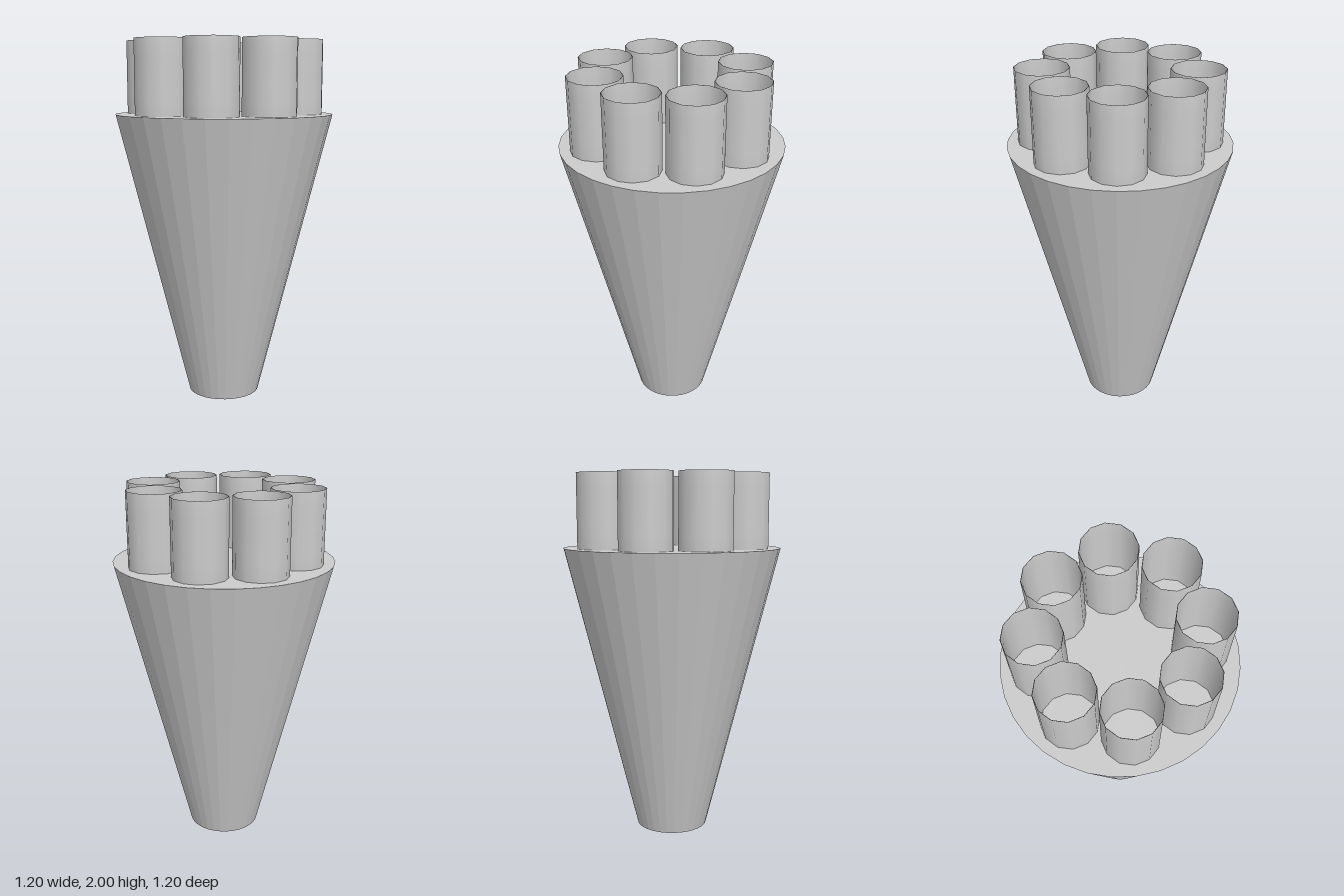
import * as THREE from 'three';

const TUBE_COUNT = 8;
const RING_RADIUS = 0.4;
const BODY_HEIGHT = 1.6;

export function createModel() {
  const model = new THREE.Group();
  model.name = 'clusteredCone';

  const grey = new THREE.MeshStandardMaterial({ color: 0xcccccc });
  grey.name = 'light grey';

  // Faceted, tapering body with flat ends
  const bodyGeometry = new THREE.CylinderGeometry(0.6, 0.2, BODY_HEIGHT, 32).toNonIndexed();
  bodyGeometry.computeVertexNormals();
  const body = new THREE.Mesh(bodyGeometry, grey);
  body.name = 'taperedBody';
  body.position.y = BODY_HEIGHT / 2;
  model.add(body);

  // Thin-walled open tube: up the outside, over the rim, down the inside
  const profile = [
    [0.142, 0], [0.145, 0], [0.145, 0.08], [0.145, 0.32], [0.145, 0.4],
    [0.142, 0.4], [0.142, 0.32], [0.142, 0.08], [0.142, 0],
  ].map(([r, y]) => new THREE.Vector2(r, y));
  const tubeGeometry = new THREE.LatheGeometry(profile, 12);

  // Ring of tubes standing on the body
  const tubes = new THREE.Group();
  tubes.name = 'tubeRing';
  for (let i = 0; i < TUBE_COUNT; i++) {
    const angle = (i / TUBE_COUNT) * Math.PI * 2;
    const tube = new THREE.Mesh(tubeGeometry, grey);
    tube.name = `tube${i + 1}`;
    tube.position.set(Math.cos(angle) * RING_RADIUS, BODY_HEIGHT, Math.sin(angle) * RING_RADIUS);
    tubes.add(tube);
  }
  model.add(tubes);

  return model;
}
